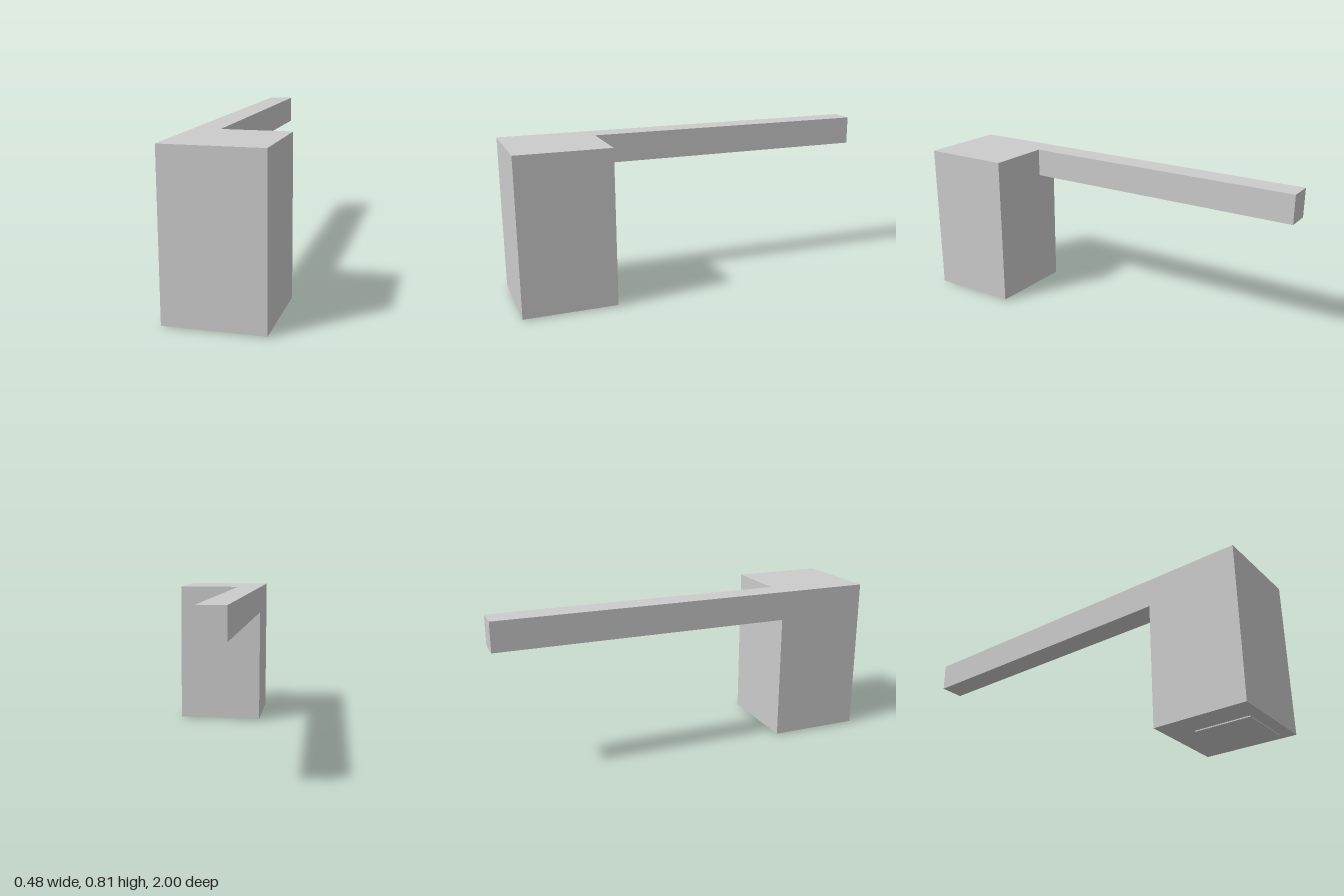
import * as THREE from 'three';

const material = new THREE.MeshStandardMaterial({ color: 0xcccccc, flatShading: true });

// Box given by its lower and upper corners
function block(name, [x0, y0, z0], [x1, y1, z1]) {
  const mesh = new THREE.Mesh(new THREE.BoxGeometry(x1 - x0, y1 - y0, z1 - z0), material);
  mesh.position.set((x0 + x1) / 2, (y0 + y1) / 2, (z0 + z1) / 2);
  mesh.name = name;
  return mesh;
}

export function createModel() {
  const model = new THREE.Group();
  model.name = 'blockWithArm';
  model.add(
    // Upright main block
    block('body', [-0.24, 0.006, 0.521], [0.24, 0.81, 1]),
    // Long bar running back, flush with the top and one side of the body
    block('arm', [-0.24, 0.66, -1], [-0.107, 0.81, 0.521]),
    // Thin plate under the body
    block('basePlate', [-0.097, 0, 0.655], [0.185, 0.006, 0.94]),
  );
  return model;
}
